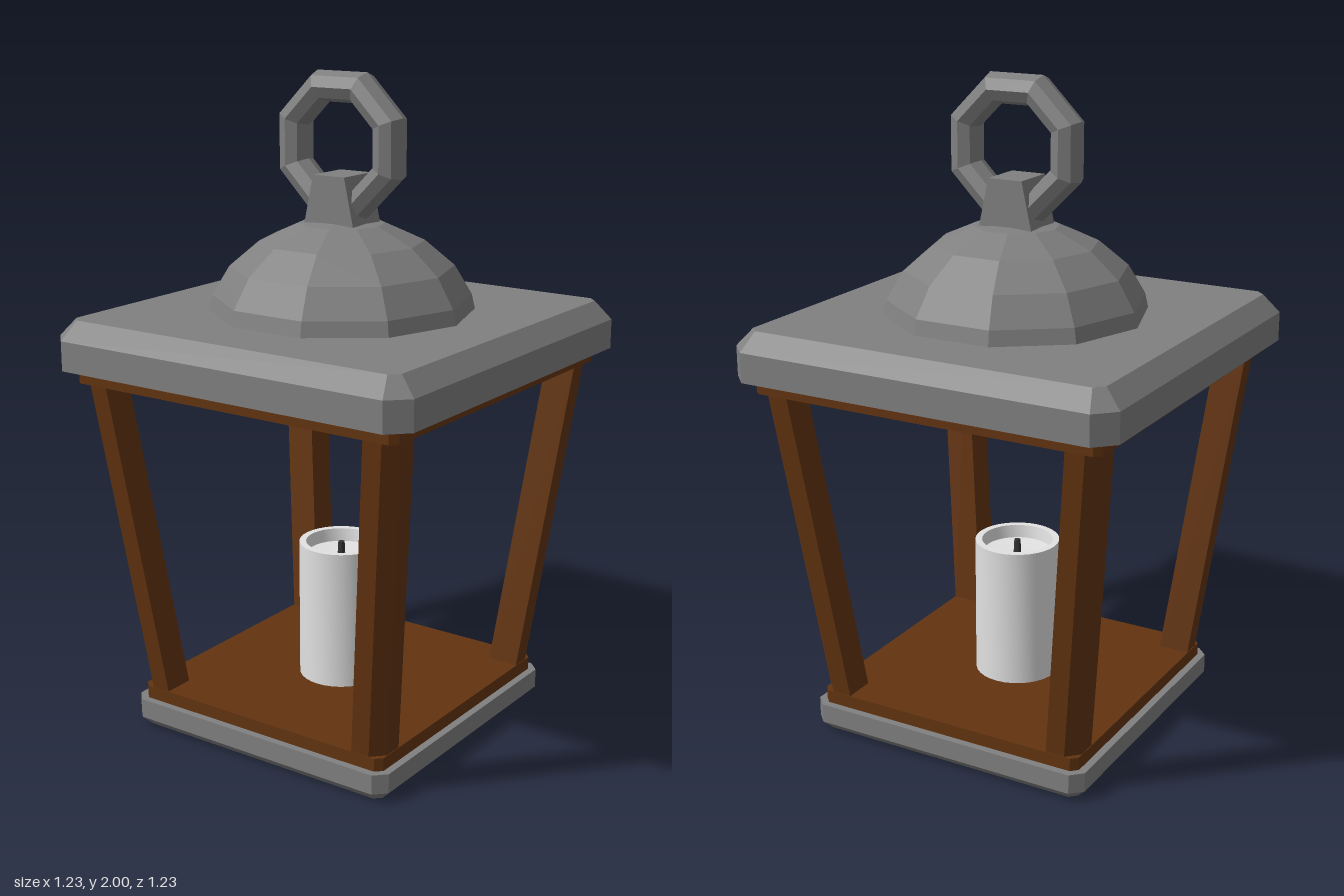
import * as THREE from 'three';
import { toCreasedNormals } from 'three/addons/utils/BufferGeometryUtils.js';

const flat = (name, color) => {
  const m = new THREE.MeshStandardMaterial({ color, flatShading: true });
  m.name = name;
  return m;
};

// Closed solid through rings of [x, z] corners, each ring at its own height.
function loft(rings) {
  const pos = [];
  const n = rings[0].pts.length;
  const put = (r, i) => pos.push(r.pts[i % n][0], r.y, r.pts[i % n][1]);
  for (let k = 0; k + 1 < rings.length; k++) {
    const a = rings[k], b = rings[k + 1];
    for (let i = 0; i < n; i++) {
      put(a, i); put(a, i + 1); put(b, i + 1);
      put(a, i); put(b, i + 1); put(b, i);
    }
  }
  const low = rings[0], top = rings[rings.length - 1];
  for (let i = 1; i < n - 1; i++) {
    put(low, 0); put(low, i + 1); put(low, i);
    put(top, 0); put(top, i); put(top, i + 1);
  }
  const g = new THREE.BufferGeometry();
  g.setAttribute('position', new THREE.Float32BufferAttribute(pos, 3));
  g.computeVertexNormals();
  return g;
}

// Square of half width h with its corners cut by c.
function cutSquare(y, h, c) {
  const a = h - c;
  return { y, pts: [[-a, h], [a, h], [h, a], [h, -a], [a, -h], [-a, -h], [-h, -a], [-h, a]] };
}

// Post section: square with the outer corner cut.
function postSection(y, o) {
  const i = o - 0.098, c = o - 0.038;
  return { y, pts: [[i, o], [c, o], [o, c], [o, i], [i, i]] };
}

const rectangle = (y, x, z) => ({ y, pts: [[-x, z], [x, z], [x, -z], [-x, -z]] });

export function createModel() {
  const metal = flat('grey metal', 0x808080);
  const wood = flat('brown wood', 0x633410);
  const wickDark = flat('dark wick', 0x333333);
  const wax = new THREE.MeshStandardMaterial({ color: 0xe2e2e2 });
  wax.name = 'pale wax';

  const lantern = new THREE.Group();
  lantern.name = 'lantern';
  const add = (name, geometry, material) => {
    const mesh = new THREE.Mesh(geometry, material);
    mesh.name = name;
    lantern.add(mesh);
    return mesh;
  };

  // Metal base and wooden floor
  add('base', loft([cutSquare(0, 0.435, 0.02), cutSquare(0.03, 0.465, 0.035), cutSquare(0.09, 0.465, 0.035)]), metal);
  add('floor', loft([cutSquare(0.09, 0.442, 0.02), cutSquare(0.13, 0.442, 0.02)]), wood);

  // Four leaning corner posts
  const postGeometry = loft([postSection(0.11, 0.438), postSection(1.13, 0.553)]);
  for (let k = 0; k < 4; k++) {
    add('post' + (k + 1), postGeometry, wood).rotation.y = k * Math.PI / 2;
  }

  // Wooden ceiling and bevelled metal roof
  add('ceiling', loft([cutSquare(1.11, 0.563, 0.02), cutSquare(1.155, 0.563, 0.02)]), wood);
  add('roof', loft([cutSquare(1.155, 0.617, 0.058), cutSquare(1.245, 0.617, 0.058), cutSquare(1.3, 0.567, 0.027)]), metal);

  // Ten-sided dome
  const domeProfile = [[0.4, 1.29], [0.387, 1.345], [0.335, 1.432], [0.245, 1.508], [0.128, 1.56], [0, 1.575]];
  const dome = add('dome', new THREE.LatheGeometry(domeProfile.map(p => new THREE.Vector2(...p)), 10, Math.PI / 2), metal);
  dome.position.z = -0.004;

  // Tapered mount and octagonal ring
  add('ringMount', loft([rectangle(1.53, 0.094, 0.07), rectangle(1.705, 0.055, 0.07)]), metal).position.z = -0.004;
  const ring = add('ring', new THREE.TorusGeometry(0.179, 0.0487, 8, 8), metal);
  ring.position.set(0, 1.79, -0.004);
  ring.rotation.z = Math.PI / 8;
  ring.scale.z = 1.19;

  // Hollow-topped candle and wick
  const candleProfile = [[0, 0.125], [0.131, 0.125], [0.131, 0.565], [0.11, 0.565], [0.105, 0.525], [0, 0.515]];
  const candle = new THREE.LatheGeometry(candleProfile.map(p => new THREE.Vector2(...p)), 32);
  add('candle', toCreasedNormals(candle, 0.6), wax);
  const wick = add('wick', new THREE.CylinderGeometry(0.01, 0.013, 0.055, 8), wickDark);
  wick.position.y = 0.535;

  return lantern;
}
